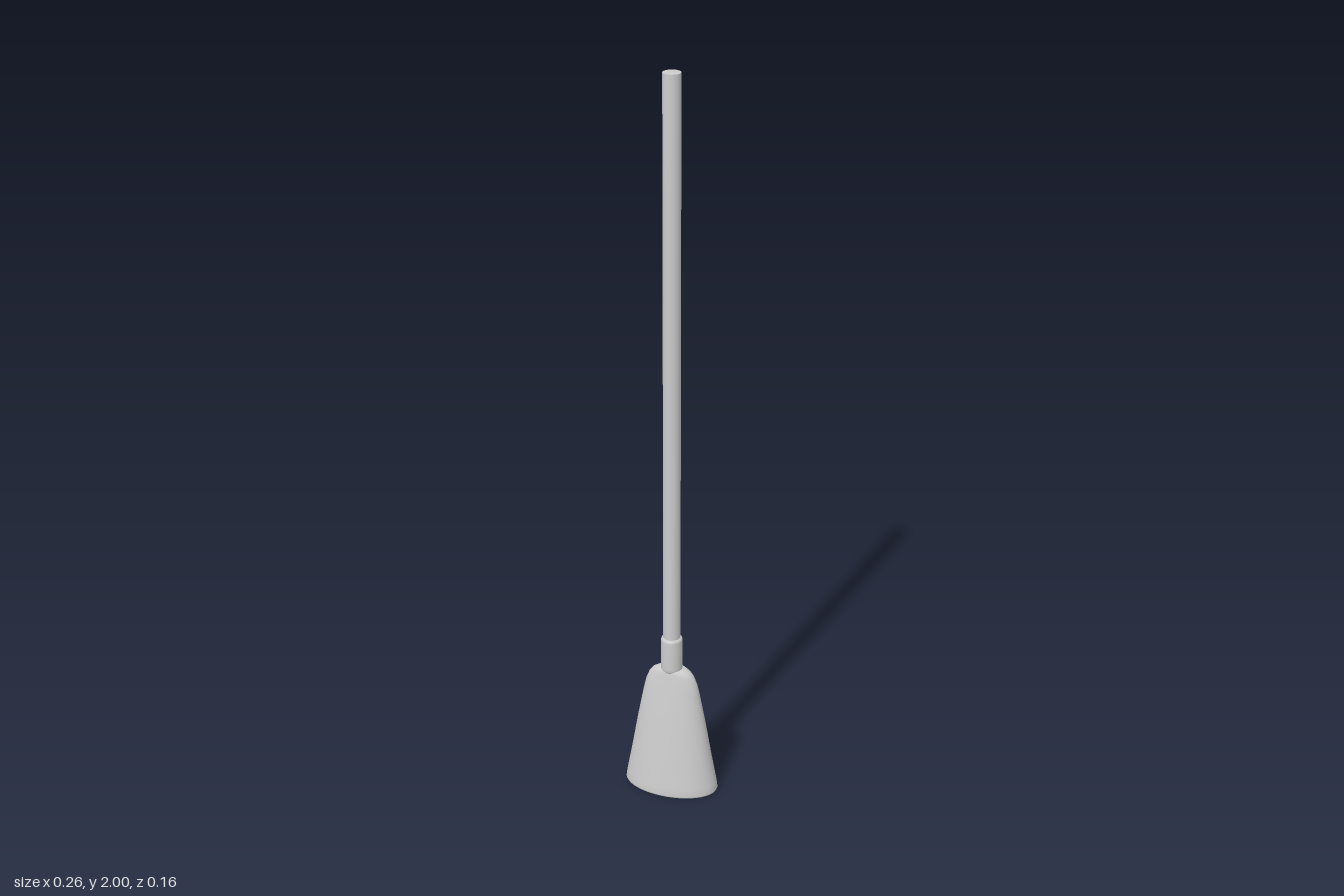
import * as THREE from 'three';
import { mergeVertices } from 'three/addons/utils/BufferGeometryUtils.js';

const grey = new THREE.MeshStandardMaterial({ color: 0xcccccc });

function add(group, name, geometry) {
  const mesh = new THREE.Mesh(geometry, grey);
  mesh.name = name;
  group.add(mesh);
}

function lathe(points, segments = 32) {
  return new THREE.LatheGeometry(points.map(([x, y]) => new THREE.Vector2(x, y)), segments);
}

// Bristle head: loft of ellipses given as [half width, half depth, height]
function bristleGeometry() {
  const rings = [
    [0, 0, 0], [0.128, 0.078, 0], [0.13, 0.08, 0.004], [0.127, 0.078, 0.025],
    [0.113, 0.067, 0.1], [0.096, 0.053, 0.2], [0.079, 0.038, 0.29],
    [0.072, 0.033, 0.32], [0.063, 0.029, 0.343], [0.052, 0.027, 0.356],
    [0.038, 0.025, 0.363], [0, 0, 0.366],
  ];
  const segments = 48;
  const geometry = lathe(rings.map(([x, , y]) => [x, y]), segments);
  // flatten each ring front to back
  const pos = geometry.attributes.position;
  for (let i = 0; i < pos.count; i++) {
    const [x, z] = rings[i % rings.length];
    if (x > 0) pos.setZ(i, pos.getZ(i) * z / x);
  }
  geometry.deleteAttribute('uv');
  geometry.deleteAttribute('normal');
  const smooth = mergeVertices(geometry, 1e-5);
  smooth.computeVertexNormals();
  return smooth;
}

export function createModel() {
  const broom = new THREE.Group();
  broom.name = 'broom';

  add(broom, 'bristles', bristleGeometry());

  // Collar joining handle and bristles, with softened rims
  add(broom, 'collar', lathe([
    [0, 0.355], [0.026, 0.355], [0.029, 0.362], [0.029, 0.37],
    [0.029, 0.448], [0.028, 0.453], [0.024, 0.457], [0, 0.457],
  ]));

  // Long straight handle
  const handle = new THREE.CylinderGeometry(0.023, 0.023, 1.58, 32);
  handle.translate(0, 1.21, 0);
  add(broom, 'handle', handle);

  return broom;
}
